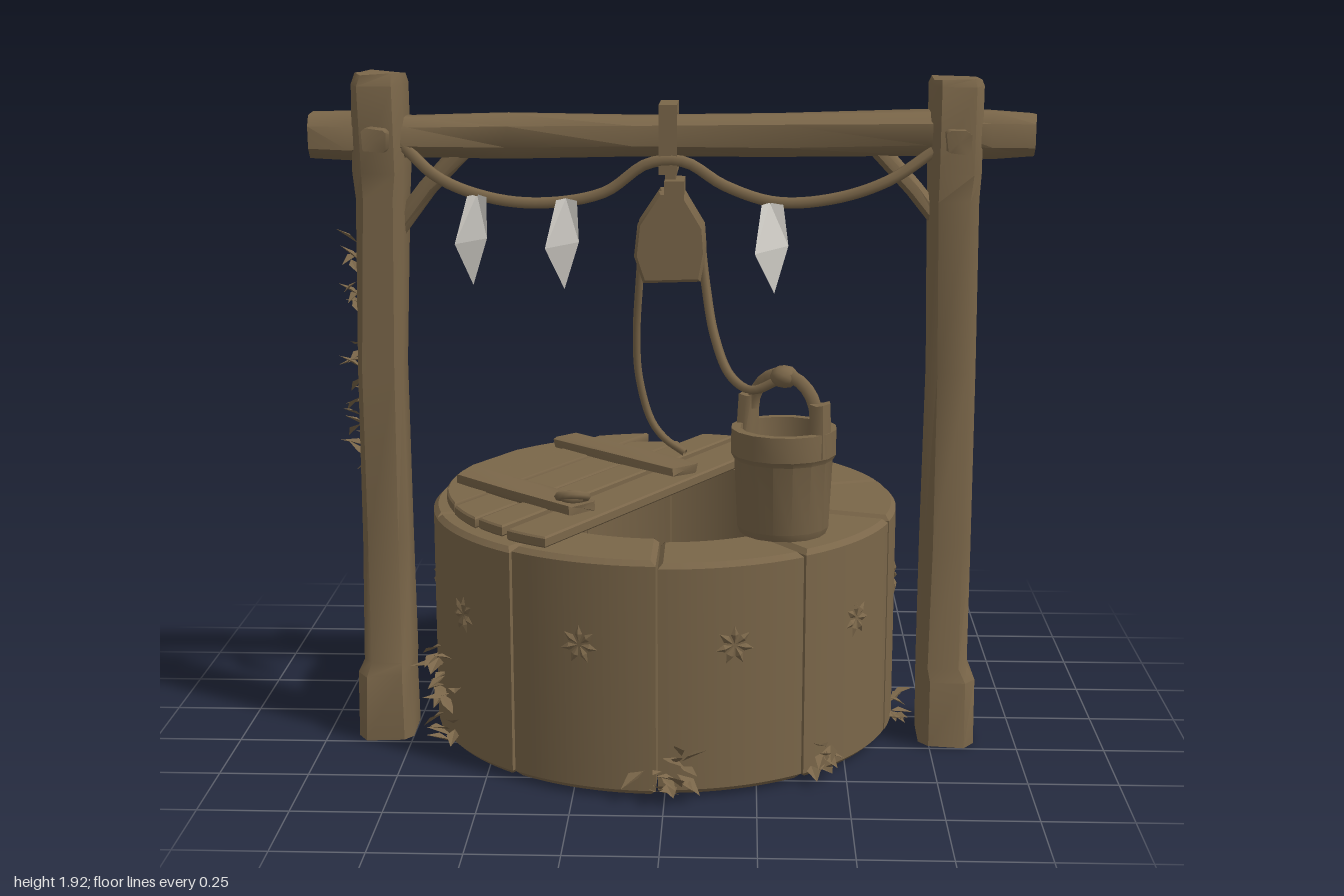
import * as THREE from 'three';
import { mergeGeometries, toCreasedNormals } from 'three/addons/utils/BufferGeometryUtils.js';

const V = (x, y, z) => new THREE.Vector3(x, y, z);
let seed = 7;
const rand = () => (seed = (seed * 16807) % 2147483647) / 2147483647;
const jitter = (a) => (rand() - 0.5) * 2 * a;

// Chamfered-rectangle cross-sections [y, cx, cz, width, depth] joined into a closed beam
function loft(rings, chamfer = 0.3, wobble = 0.004) {
  const pos = [], idx = [], k = 1 - 2 * chamfer;
  const outline = [[1, k], [k, 1], [-k, 1], [-1, k], [-1, -k], [-k, -1], [k, -1], [1, -k]];
  for (const [y, cx, cz, w, d] of rings)
    for (const [px, pz] of outline)
      pos.push(cx + px * w / 2 + jitter(wobble), y + jitter(wobble), cz + pz * d / 2 + jitter(wobble));
  const last = rings.length - 1, base = pos.length / 3;
  for (const r of [rings[0], rings[last]]) pos.push(r[1], r[0], r[2]);
  for (let i = 0; i < 8; i++) {
    const n = (i + 1) % 8;
    for (let j = 0; j < last; j++) {
      const a = j * 8 + i, b = j * 8 + n;
      idx.push(a, a + 8, b, b, a + 8, b + 8);
    }
    idx.push(base, i, n, base + 1, last * 8 + n, last * 8 + i);
  }
  const g = new THREE.BufferGeometry();
  g.setAttribute('position', new THREE.Float32BufferAttribute(pos, 3));
  g.setIndex(idx);
  return toCreasedNormals(g, 0.85);
}

function extrude(shape, depth, bevel) {
  return toCreasedNormals(new THREE.ExtrudeGeometry(shape, {
    depth: depth - 2 * bevel, bevelEnabled: bevel > 0, bevelThickness: bevel,
    bevelSize: bevel, bevelOffset: -bevel, bevelSegments: 1,
  }).translate(0, 0, bevel), 0.6);
}

const polygon = (pts) => new THREE.Shape(pts.map(([x, y]) => new THREE.Vector2(x, y)));

// Two-panel folded leaf pointing along +z
function leaf(len) {
  const g = new THREE.BufferGeometry(), w = len * 0.28;
  g.setAttribute('position', new THREE.Float32BufferAttribute(
    [0, 0, 0, w, 0.3 * w, len * 0.45, 0, -0.2 * w, len, 0, 0, 0, 0, -0.2 * w, len, -w, 0.3 * w, len * 0.45], 3));
  g.computeVertexNormals();
  return g;
}

// Leaves scattered up a wall, fanning outward; angle is measured from +z towards +x
function leafCluster(x, z, y0, y1, spread, angle, count, size) {
  const parts = [];
  for (let i = 0; i < count; i++) {
    const yaw = angle + jitter(1.2), side = jitter(spread);
    parts.push(leaf(size * (0.7 + rand() * 0.6))
      .rotateX(jitter(0.8) - 0.1).rotateY(yaw)
      .translate(x + Math.cos(angle) * side, y0 + (y1 - y0) * (i + 0.5) / count, z - Math.sin(angle) * side));
  }
  return mergeGeometries(parts);
}

export function createModel() {
  const root = new THREE.Group();
  root.name = 'wishingWell';
  const brown = new THREE.MeshStandardMaterial({ color: 0x7a6649, side: THREE.DoubleSide });
  brown.name = 'weathered brown';
  const cloth = new THREE.MeshStandardMaterial({ color: 0xd9d6cf, side: THREE.DoubleSide });
  cloth.name = 'pale cloth';
  const add = (name, geo, parent = root, mat = brown) => {
    const m = new THREE.Mesh(geo, mat);
    m.name = name;
    parent.add(m);
    return m;
  };
  const box = (w, h, d, x, y, z) => new THREE.BoxGeometry(w, h, d).translate(x, y, z);
  const rope = (name, pts, r) => add(name, new THREE.TubeGeometry(
    new THREE.CatmullRomCurve3(pts.map((p) => V(...p))), pts.length * 5, r, 6));

  // Stone ring of ten blocks, each with a carved flower
  const well = new THREE.Group();
  well.name = 'stoneRing';
  well.position.set(-0.02, 0, -0.04);
  root.add(well);
  const step = Math.PI / 5, R = 0.68, inner = 0.445;
  for (let i = 0; i < 10; i++) {
    const mid = (i + 0.5) * step, half = step / 2 - 0.004, r = R + jitter(0.007);
    const s = new THREE.Shape();
    s.absarc(0, 0, r, -half, half, false);
    s.absarc(0, 0, inner + jitter(0.006), half, -half, true);
    const g = extrude(s, 0.655 + jitter(0.008), 0.014).rotateX(-Math.PI / 2).rotateY(mid - Math.PI / 2);
    add('stoneBlock', g.translate(0, 0.012, 0), well);
    const petals = [];
    for (let p = 0; p < 7; p++)
      petals.push(new THREE.OctahedronGeometry(1).scale(0.011, 0.025, 0.008)
        .translate(0, 0.03, 0).rotateZ(p * Math.PI * 2 / 7 + i));
    add('carvedFlower', mergeGeometries(petals).translate(0, 0.43, r).rotateY(mid), well);
  }

  // Half lid of planks laid across the ring
  const lid = new THREE.Group();
  lid.name = 'plankLid';
  lid.position.set(-0.02, 0, -0.04);
  lid.rotation.y = Math.PI / 3;
  root.add(lid);
  const planks = [[-0.115, 0.02, 1], [-0.237, -0.135, 1], [-0.385, -0.258, 0.4], [-0.51, -0.39, 1], [-0.635, -0.515, 1]];
  planks.forEach(([v0, v1, cap], n) => {
    const top = [], bottom = [];
    for (let k = 0; k <= 6; k++) {
      const v = v0 + (v1 - v0) * k / 6, h = Math.sqrt(0.645 ** 2 - v * v);
      top.push([Math.min(h, cap + k * 0.015 * (cap < 1)), -v]);
      bottom.unshift([-h, -v]);
    }
    add('lidPlank', extrude(polygon([...top, ...bottom]), 0.032, 0.005)
      .rotateX(-Math.PI / 2).translate(0, 0.673 + (n % 2) * 0.005, 0), lid);
  });
  for (const [u, v, len] of [[0.185, -0.27, 0.54], [-0.34, -0.27, 0.5]]) {
    const c = add('lidCleat', loft([[-len / 2, 0, 0, 0.1, 0.03], [0, 0, 0, 0.11, 0.034], [len / 2, 0, 0, 0.1, 0.03]], 0.1)
      .rotateX(Math.PI / 2), lid);
    c.position.set(u, 0.722, v);
    c.rotation.y = -0.245;
  }
  add('lidRing', new THREE.TorusGeometry(0.04, 0.012, 6, 12).rotateX(1.2).translate(-0.27, 0.755, 0.29));
  add('lidKnot', new THREE.IcosahedronGeometry(0.03, 1).scale(1.3, 0.7, 1).translate(-0.27, 0.745, 0.26));

  // Posts with wider feet and heads
  const post = (name, foot, mid, head, top) => add(name, loft([
    [0.005, foot, 0.145, 0.16, 0.2], [0.2, foot, 0.145, 0.155, 0.2], [0.235, mid, 0.145, 0.135, 0.17],
    [0.6, mid, 0.147, 0.132, 0.165], [1.1, mid, 0.145, 0.132, 0.168], [1.58, head, 0.142, 0.13, 0.17],
    [1.65, head, 0.137, 0.14, 0.19], [1.89, head, 0.137, 0.14, 0.19], [top, head, 0.137, 0.125, 0.17]], 0.17));
  post('rightPost', -0.828, -0.818, -0.805, 1.92);
  post('leftPost', 0.8, 0.787, 0.781, 1.91);

  // Crossbeam running along x
  add('crossbeam', loft([[-1, 0.003, 0, 0.12, 0.13], [-0.89, 0.003, 0, 0.13, 0.14], [-0.72, 0.002, 0, 0.11, 0.14],
    [-0.45, 0, 0, 0.118, 0.145], [-0.1, 0, 0, 0.112, 0.135], [0.3, -0.005, 0, 0.115, 0.14], [0.7, -0.008, 0, 0.125, 0.135],
    [0.88, -0.005, 0, 0.125, 0.14], [1, -0.005, 0, 0.12, 0.13]], 0.25).rotateZ(-Math.PI / 2).translate(0, 1.75, 0.135));
  for (const s of [-1, 1]) {
    const x = s < 0 ? -0.8 : 0.78;
    add('beamPeg', loft([[-0.16, 0, 0, 0.062, 0.062], [0.16, 0, 0, 0.062, 0.062]], 0.12)
      .rotateX(Math.PI / 2).translate(x, 1.745, 0.13));
    // Diagonal brace under the beam
    add('brace', loft([[-0.16, 0, 0, 0.05, 0.08], [0, s * 0.008, 0, 0.045, 0.075], [0.16, 0, 0, 0.055, 0.08]])
      .rotateZ(s * 0.7).translate(s * 0.67, 1.6, 0.135));
  }

  // Strap, pulley block and wheel
  const strap = polygon([[-0.09, -0.1], [0.09, -0.1], [0.09, 0.09], [-0.09, 0.09]]);
  strap.holes.push(polygon([[-0.07, -0.08], [-0.07, 0.065], [0.07, 0.065], [0.07, -0.08]]));
  add('beamStrap', extrude(strap, 0.05, 0).translate(0, 1.75, -0.025).rotateY(Math.PI / 2).translate(-0.005, 0, 0.135));
  const cheek = polygon([[-0.03, 1.6], [0.035, 1.6], [0.095, 1.5], [0.1, 1.43], [0.085, 1.35], [-0.075, 1.345], [-0.1, 1.42], [-0.09, 1.51]]);
  for (const z of [0.07, 0.165]) add('pulleyCheek', extrude(cheek, 0.035, 0.008).translate(0, 0, z));
  add('pulleyWheel', new THREE.CylinderGeometry(0.085, 0.085, 0.06, 14).rotateX(Math.PI / 2).translate(0, 1.45, 0.135));
  add('pulleyHanger', box(0.055, 0.2, 0.15, 0.012, 1.53, 0.135));
  add('pulleyHook', box(0.03, 0.08, 0.05, 0, 1.63, 0.135));

  // Ropes
  rope('looseRope', [[-0.08, 1.45, 0.13], [-0.09, 1.33, 0.1], [-0.1, 1.18, 0.06], [-0.095, 1.05, 0.04],
    [-0.06, 0.92, 0.04], [-0.02, 0.87, 0.06], [0.04, 0.835, 0.09]], 0.011);
  rope('bucketRope', [[0.085, 1.45, 0.14], [0.1, 1.33, 0.16], [0.125, 1.2, 0.21], [0.17, 1.1, 0.27],
    [0.23, 1.07, 0.32], [0.31, 1.11, 0.35]], 0.013);
  rope('garlandRope', [[-0.75, 1.74, 0.19], [-0.64, 1.64, 0.21], [-0.5, 1.585, 0.21], [-0.35, 1.57, 0.21],
    [-0.18, 1.6, 0.21], [-0.06, 1.68, 0.215], [0.04, 1.685, 0.215], [0.15, 1.62, 0.21], [0.29, 1.575, 0.21],
    [0.45, 1.585, 0.21], [0.6, 1.635, 0.21], [0.73, 1.72, 0.19]], 0.017);

  // Cloth pennants hung from the garland
  [[-0.53, 1.59, -0.15], [-0.285, 1.58, -0.08], [0.275, 1.57, 0.1]].forEach(([x, y, tilt]) => {
    const g = new THREE.ShapeGeometry(polygon([[-0.025, 0], [0, 0.005], [0.035, 0], [0.045, -0.11], [0.005, -0.24], [-0.05, -0.13]])).toNonIndexed();
    const p = g.attributes.position;
    for (let i = 0; i < p.count; i++) p.setZ(i, Math.abs(p.getX(i)) * 0.4 - p.getY(i) * 0.18);
    g.computeVertexNormals();
    add('pennant', g.rotateY(tilt * 2).translate(x, y, 0.225), root, cloth);
  });

  // Bucket with ears and arched handle
  const bucket = new THREE.Group();
  bucket.name = 'bucket';
  bucket.position.set(0.318, 0.67, 0.35);
  bucket.rotation.y = -0.62;
  root.add(bucket);
  const profile = [[0, 0.01], [0.12, 0.01], [0.128, 0.03], [0.137, 0.22], [0.146, 0.235], [0.146, 0.305],
    [0.12, 0.305], [0.105, 0.06], [0, 0.06]].map(([r, y]) => new THREE.Vector2(r, y));
  add('bucketBody', toCreasedNormals(new THREE.LatheGeometry(profile, 16), 0.5), bucket);
  for (const s of [-1, 1]) add('bucketEar', loft([[0.24, s * 0.122, 0, 0.04, 0.07], [0.385, s * 0.118, 0, 0.04, 0.06]], 0.2), bucket);
  add('bucketHandle', new THREE.TorusGeometry(0.105, 0.02, 6, 12, Math.PI).translate(0, 0.345, 0), bucket);
  add('handleKnot', new THREE.IcosahedronGeometry(0.04, 1).scale(1, 0.8, 1).translate(0, 0.445, 0), bucket);

  // Ivy on the ring and the post: x, z, y range, spread, facing, count, size
  for (const c of [[-0.885, 0.08, 0.78, 1.45, 0.06, -1.7, 26, 0.065], [-0.64, 0.27, 0.02, 0.3, 0.06, -1.05, 20, 0.08],
    [0, 0.635, 0.01, 0.13, 0.05, 0, 16, 0.07], [0.42, -0.57, 0.04, 0.38, 0.06, 2.5, 26, 0.08],
    [0.43, 0.46, 0.02, 0.1, 0.04, 0.75, 9, 0.06], [0.65, 0.06, 0.02, 0.1, 0.05, 1.5, 9, 0.06]])
    add('ivy', leafCluster(...c));
  add('ivyStem', new THREE.TubeGeometry(new THREE.CatmullRomCurve3(
    [V(-0.89, 0.75, 0.06), V(-0.888, 0.95, 0.1), V(-0.885, 1.2, 0.06), V(-0.88, 1.45, 0.09)]), 12, 0.01, 5));
  return root;
}
